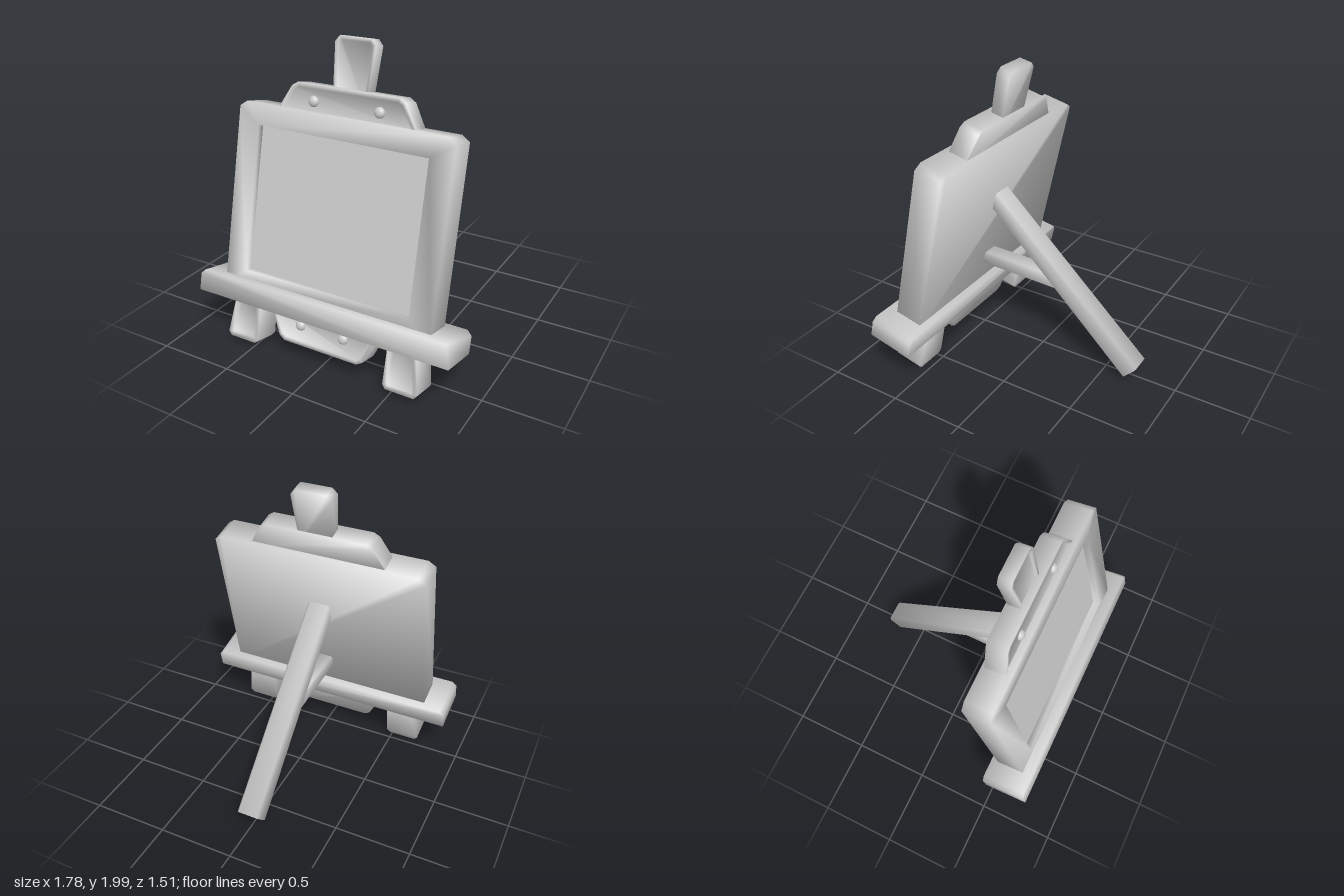
import * as THREE from 'three';
import { toCreasedNormals } from 'three/addons/utils/BufferGeometryUtils.js';

const TILT = 0.229;
const SOFT = 1.7; // smooths across right-angled edges
const material = new THREE.MeshStandardMaterial({ color: 0xcccccc, side: THREE.DoubleSide });

function add(parent, name, geometry) {
  const mesh = new THREE.Mesh(geometry, material);
  mesh.name = name;
  parent.add(mesh);
  return mesh;
}

// Skin a list of equal-length loops (counter-clockwise, back to front) and cap the ends.
function loft(loops, capFront = true) {
  const n = loops[0].length, index = [];
  for (let k = 0; k < loops.length - 1; k++) {
    for (let i = 0; i < n; i++) {
      const j = (i + 1) % n, a = k * n + i, b = k * n + j;
      index.push(a, b, b + n, a, b + n, a + n);
    }
  }
  const last = (loops.length - 1) * n;
  for (let i = 1; i < n - 1; i++) {
    index.push(0, i + 1, i);
    if (capFront) index.push(last, last + i, last + i + 1);
  }
  const geometry = new THREE.BufferGeometry();
  geometry.setAttribute('position', new THREE.Float32BufferAttribute(loops.flat(2), 3));
  geometry.setIndex(index);
  return toCreasedNormals(geometry, SOFT);
}

const at = (outline, z) => outline.map(([x, y]) => [x, y, z]);

// Shrink a convex counter-clockwise outline by a fixed distance.
function inset(outline, d) {
  const n = outline.length;
  const normal = (a, b) => new THREE.Vector2(a[1] - b[1], b[0] - a[0]).normalize();
  return outline.map((p, i) => {
    const u = normal(outline[(i + n - 1) % n], p), v = normal(p, outline[(i + 1) % n]);
    const s = d / (1 + u.dot(v));
    return [p[0] + (u.x + v.x) * s, p[1] + (u.y + v.y) * s];
  });
}

// Mirror the right half of an outline (listed bottom to top) into a full loop.
const mirrored = (half) => [...half, ...half.map(([x, y]) => [-x, y]).reverse()];

// Board with a slightly sunken face inside a narrow rim.
function rimmed(outline, back, front, rim, depth) {
  const inner = inset(outline, rim);
  return loft([at(outline, back), at(outline, front), at(inner, front), at(inset(inner, 0.006), front - depth)]);
}

// Straight bar with chamfered section between two points [y, z].
function beam(parent, name, x, from, to, width, h0, h1) {
  const a = new THREE.Vector3(x, ...from), b = new THREE.Vector3(x, ...to);
  const section = (h) => {
    const w = width / 2, y = h / 2, c = 0.012;
    return mirrored([[w - c, -y], [w, -y + c], [w, y - c], [w - c, y]]);
  };
  const mesh = add(parent, name, loft([at(section(h0), 0), at(section(h1), a.distanceTo(b))]));
  mesh.position.copy(a);
  mesh.lookAt(b);
}

export function createModel() {
  const model = new THREE.Group();
  model.name = 'easel';

  // Everything in the leaning plane
  const leaning = new THREE.Group();
  leaning.name = 'leaningFront';
  leaning.rotation.x = -TILT;
  model.add(leaning);

  // Picture frame with a rectangular opening
  const outer = mirrored([[0.735, 0.24], [0.735, 1.395], [0.685, 1.43]]);
  const opening = outer.map(([x, y]) => [
    THREE.MathUtils.clamp(x, -0.583, 0.583),
    y < 0.8 ? 0.355 : 1.294,
  ]);
  add(leaning, 'frame', loft([at(outer, 0.56), at(outer, 0.748), at(opening, 0.748), at(opening, 0.7)], false));
  add(leaning, 'panel', new THREE.PlaneGeometry(1.166, 0.939)).position.set(0, 0.8245, 0.702);

  // Tray
  const tray = mirrored([[0.89, 0.163], [0.89, 0.275], [0.86, 0.305]]);
  add(leaning, 'tray', loft([at(tray, 0.513), at(tray, 0.815)]));

  // Mast above the frame
  const mast = mirrored([[0.113, 1.5], [0.137, 1.86], [0.105, 1.896]]);
  add(leaning, 'mast', rimmed(mast, 0.59, 0.678, 0.02, 0.012));

  // Clamp plates above and below
  const upper = mirrored([[0.485, 1.39], [0.385, 1.567], [0.345, 1.592]]);
  add(leaning, 'upperPlate', rimmed(upper, 0.58, 0.716, 0.022, 0.01));
  const lower = mirrored([[0.265, -0.035], [0.305, -0.01], [0.385, 0.16], [0.38, 0.2]]);
  add(leaning, 'lowerPlate', rimmed(lower, 0.58, 0.716, 0.022, 0.01));

  // Round studs on the plates
  for (const [x, y] of [[0.225, 1.49], [-0.225, 1.49], [0.15, 0.092], [-0.16, 0.092]]) {
    const stud = add(leaning, 'stud', new THREE.SphereGeometry(0.034, 20, 12));
    stud.position.set(x, y, 0.706);
    stud.scale.z = 0.75;
  }

  // Front legs
  for (const side of [1, -1]) {
    const half = [[0.48, -0.116], [0.67, -0.116], [0.692, -0.09], [0.648, 0.2], [0.465, 0.2], [0.46, -0.09]];
    const outline = side > 0 ? half : half.map(([x, y]) => [-x, y]).reverse();
    add(leaning, side > 0 ? 'leftLeg' : 'rightLeg', rimmed(outline, 0.541, 0.731, 0.03, 0.014));
  }

  // Rear strut and its brace
  beam(model, 'rearStrut', 0.008, [0.08, -0.704], [1.1, 0.363], 0.155, 0.131, 0.107);
  beam(model, 'brace', 0.008, [0.58, -0.18], [0.597, 0.46], 0.12, 0.1, 0.092);

  return model;
}
